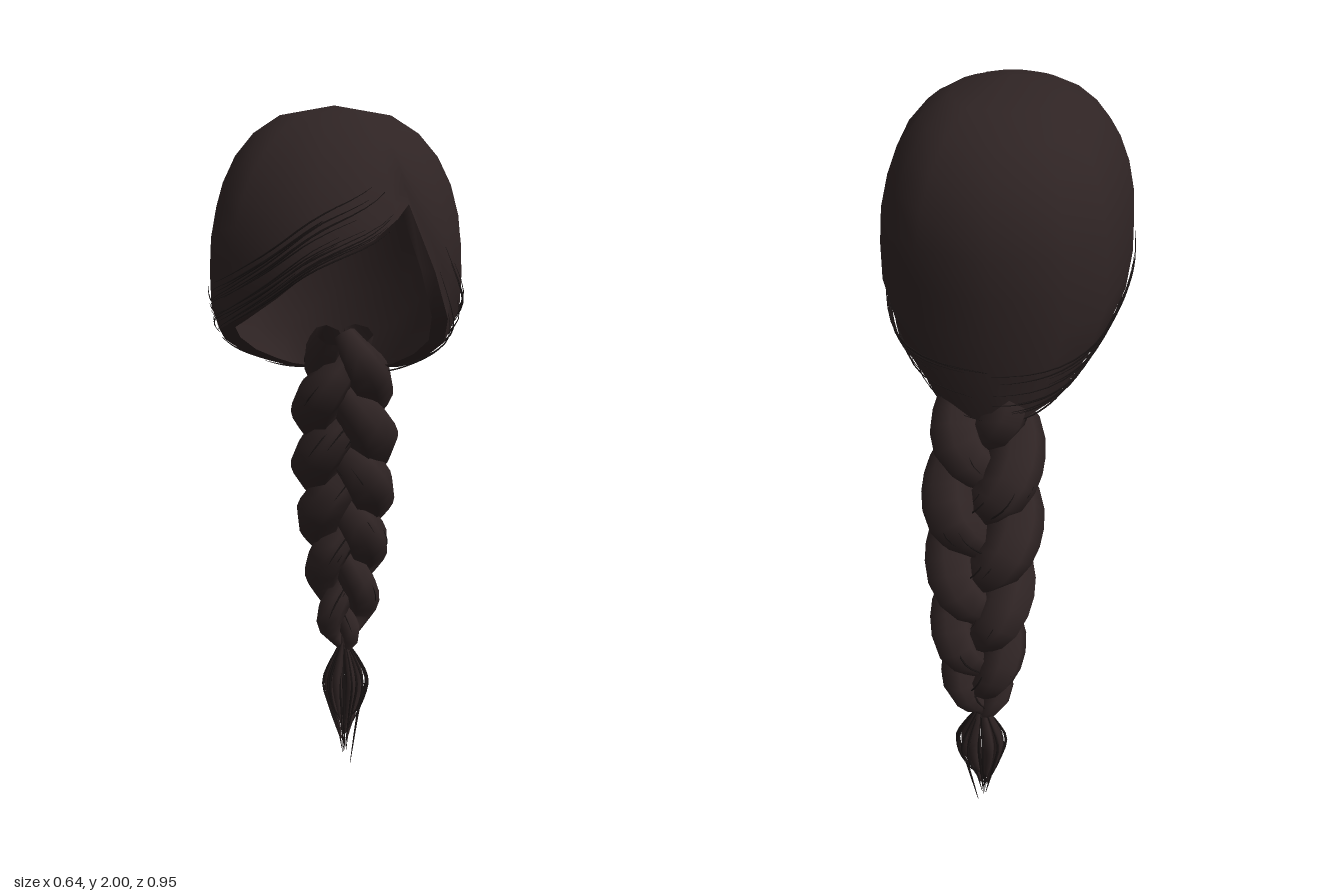
import * as THREE from 'three';
import { mergeGeometries, mergeVertices } from 'three/addons/utils/BufferGeometryUtils.js';

const V = (x, y, z) => new THREE.Vector3(x, y, z);
const lerp = THREE.MathUtils.lerp;
const clamp = THREE.MathUtils.clamp;

// Seeded random numbers for loose hairs
let seed = 7;
const rnd = (a, b) => {
  seed = (seed * 16807) % 2147483647;
  return a + (b - a) * (seed / 2147483647);
};

// Linear lookup in a list of [key, value...] rows with falling keys
function lookup(rows, key) {
  let i = 0;
  while (i < rows.length - 2 && key < rows[i + 1][0]) i++;
  const a = rows[i], b = rows[i + 1];
  const t = clamp((a[0] - key) / (a[0] - b[0]), 0, 1);
  return a.map((v, k) => lerp(v, b[k], t));
}

// Tube along points whose radius follows a rule of t
function taperedTube(points, radius, segments, sides) {
  const curve = new THREE.CatmullRomCurve3(points);
  const geo = new THREE.TubeGeometry(curve, segments, 1, sides, false);
  const pos = geo.attributes.position, p = V(0, 0, 0);
  for (let i = 0; i <= segments; i++) {
    const c = curve.getPointAt(i / segments), r = radius(i / segments);
    for (let j = 0; j <= sides; j++) {
      const k = i * (sides + 1) + j;
      p.fromBufferAttribute(pos, k).sub(c).multiplyScalar(r).add(c);
      pos.setXYZ(k, p.x, p.y, p.z);
    }
  }
  return geo;
}

// Cap outline as x, hem height, z, from the parting round the back to the fringe
const HEM = [
  [0.20, 1.78, 0.32], [0.245, 1.62, 0.305], [0.285, 1.50, 0.26], [0.315, 1.42, 0.19],
  [0.32, 1.36, 0.10], [0.308, 1.30, -0.06], [0.26, 1.28, -0.19], [0.18, 1.27, -0.27],
  [0.0, 1.26, -0.32], [-0.17, 1.27, -0.27], [-0.26, 1.29, -0.16], [-0.29, 1.32, -0.05],
  [-0.31, 1.37, 0.08], [-0.305, 1.43, 0.20], [-0.285, 1.48, 0.31], [-0.24, 1.51, 0.37],
  [-0.15, 1.57, 0.43], [-0.04, 1.65, 0.474], [0.10, 1.71, 0.45], [0.165, 1.75, 0.37],
].map(p => V(...p));
const outline = new THREE.CatmullRomCurve3(HEM, true);

// The parting fades out towards the crown
const rounded = HEM.map(p => p.clone());
rounded[0].set(0.22, 1.78, 0.365);
rounded[19].set(0.17, 1.75, 0.415);
const crownOutline = new THREE.CatmullRomCurve3(rounded, true);
const wrap = u => ((u % 1) + 1) % 1;

// Point on the cap at outline position u and height y, pushed out a little
function capPoint(u, y, push = 0) {
  const p = crownOutline.getPoint(wrap(u)).lerp(outline.getPoint(wrap(u)), clamp((1.95 - y) / 0.15, 0, 1));
  const dir = V(p.x, 0, p.z - 0.1), out = dir.clone().normalize();
  const power = 2.4 - 0.5 * Math.max(0, out.z); // flatter slope over the forehead
  let f = 1, cz = 0.1;
  if (y > 1.6) f = Math.pow(Math.max(0, 1 - Math.pow((y - 1.6) / 0.4, power)), 1 / power);
  else if (y < 1.55) {
    f = 1 - Math.pow((1.55 - y) / 0.385, 2);
    cz = 0.1 - 0.38 * (1 - f);
  }
  return V(dir.x * f + out.x * push, y, cz + dir.z * f + out.z * push);
}

// Closed surface from rings of points
function ringSurface(rings) {
  const cols = rings[0].length, index = [];
  for (let i = 0; i < rings.length - 1; i++) {
    for (let j = 0; j < cols; j++) {
      const a = i * cols + j, b = i * cols + (j + 1) % cols;
      index.push(a, b + cols, b, a, a + cols, b + cols);
    }
  }
  let geo = new THREE.BufferGeometry().setFromPoints(rings.flat());
  geo.setIndex(index);
  geo = mergeVertices(geo, 1e-5);
  geo.computeVertexNormals();
  return geo;
}

// Braid centre line: height, z, thickness
const BRAID = [
  [1.38, -0.2, 0.6], [1.3, -0.215, 0.82], [1.2, -0.243, 1], [1.0, -0.305, 1.05], [0.8, -0.355, 0.97],
  [0.65, -0.38, 0.84], [0.5, -0.375, 0.68], [0.43, -0.365, 0.5], [0.37, -0.36, 0.14],
];
const BRAID_TOP = 1.38, BRAID_END = 0.37, PERIOD = 0.54;
const phaseAt = (y, n) => (BRAID_TOP - y) / PERIOD * Math.PI * 2 + n * Math.PI * 2 / 3;

function braidPoint(y, n) {
  const [, z, s] = lookup(BRAID, y), a = phaseAt(y, n);
  return V(0.022 + Math.sin(a) * 0.078 * s, y, z + Math.sin(2 * a) * 0.042 * s);
}

export function createModel() {
  const group = new THREE.Group();
  const hair = new THREE.MeshStandardMaterial({ color: 0x2f2424, side: THREE.DoubleSide });
  hair.name = 'dark brown hair';
  const strandMat = new THREE.MeshStandardMaterial({ color: 0x1c1616, side: THREE.DoubleSide });
  strandMat.name = 'darker loose strands';
  const add = (name, geo, mat) => {
    const m = new THREE.Mesh(geo, mat);
    m.name = name;
    group.add(m);
  };

  // Swept cap with an open face
  const ROWS = 9, rings = [];
  for (let i = 0; i <= ROWS; i++) {
    rings.push(HEM.map((h, j) => capPoint(j / HEM.length, lerp(2, h.y, Math.pow(i / ROWS, 1.5)))));
  }
  add('hairCap', ringSurface(rings), hair);

  // Hem turned inwards at the sides
  const hemRing = rings[ROWS];
  add('turnedHem', ringSurface([hemRing, hemRing.map(p => V(p.x * 0.86, p.y + 0.005, p.z))]), hair);

  // Fine strands following the hem: fringe, then both sides to the nape
  const wisps = (count, u0, u1, depth) => {
    const list = [];
    for (let k = 0; k < count; k++) {
      const a = lerp(u0, u1, rnd(0, 0.45)), b = lerp(u0, u1, rnd(0.55, 1));
      const lift = rnd(-0.008, depth), drift = rnd(-0.015, 0.015), push = rnd(0.001, 0.005), pts = [];
      for (let i = 0; i <= 9; i++) {
        const u = lerp(a, b, i / 9);
        pts.push(capPoint(u, outline.getPoint(wrap(u)).y + lift + drift * i / 9, push));
      }
      list.push(taperedTube(pts, t => 0.0005 + 0.002 * Math.sin(Math.PI * t), 14, 3));
    }
    return mergeGeometries(list);
  };
  add('fringeStrands', wisps(18, 0.64, 0.95, 0.12), strandMat);
  add('leftSideStrands', wisps(18, 0.06, 0.4, 0.15), strandMat);
  add('rightSideStrands', wisps(16, 0.4, 0.66, 0.15), strandMat);

  // Three plaited locks, fattest where they turn at the sides
  for (let n = 0; n < 3; n++) {
    const pts = [];
    for (let i = 0; i <= 40; i++) pts.push(braidPoint(lerp(BRAID_TOP, BRAID_END, i / 40), n));
    const curve = new THREE.CatmullRomCurve3(pts);
    const radius = t => {
      const y = curve.getPointAt(t).y;
      return 0.07 * lookup(BRAID, y)[2] * (0.78 + 0.27 * Math.abs(Math.sin(phaseAt(y, n))));
    };
    add('braidLock' + (n + 1), taperedTube(pts, radius, 36, 7), hair);
  }

  // Loose hairs lying on the plait
  const loose = [];
  for (let k = 0; k < 48; k++) {
    const n = k % 3, y0 = rnd(0.55, 1.33), len = rnd(0.1, 0.17), around = rnd(0, Math.PI * 2), pts = [];
    for (let i = 0; i <= 6; i++) {
      const y = y0 - len * i / 6, s = lookup(BRAID, y)[2] * 0.066;
      const p = braidPoint(y, n);
      pts.push(V(p.x + Math.cos(around) * s, y, p.z + Math.sin(around) * s));
    }
    loose.push(taperedTube(pts, t => 0.0005 + 0.0024 * Math.sin(Math.PI * t), 8, 3));
  }
  add('braidLooseHairs', mergeGeometries(loose), strandMat);

  // Tuft below the pinch: solid locks, then fine strands ending in a point
  const tuftPath = (angle, spread, tipY, tipSpread) => {
    const c = Math.cos(angle), s = Math.sin(angle);
    return [[0.39, 0.01, -0.36], [0.34, spread * 0.6, -0.36], [0.27, spread, -0.357],
      [0.18, spread * 0.68, -0.35], [tipY, tipSpread, -0.32 - tipY * 0.1]]
      .map(([y, r, z]) => V(0.022 + c * r, y, z + s * r * 0.68));
  };
  const locks = [], fine = [];
  for (let k = 0; k < 6; k++) {
    const path = tuftPath(k * Math.PI / 3, 0.045, 0.08 + 0.02 * (k % 3), 0.008);
    locks.push(taperedTube(path, t => 0.003 + 0.013 * Math.pow(Math.sin(Math.PI * Math.pow(t, 0.75)), 1.2), 14, 5));
  }
  for (let k = 0; k < 24; k++) {
    const path = tuftPath(k * 2.4, rnd(0.035, 0.08), k === 0 ? 0 : rnd(0.03, 0.16), rnd(0.001, 0.02));
    fine.push(taperedTube(path, t => 0.0008 + 0.0035 * Math.sin(Math.PI * Math.min(1, t * 0.95 + 0.05)), 12, 3));
  }
  add('tuftLocks', mergeGeometries(locks), hair);
  add('tuftStrands', mergeGeometries(fine), strandMat);

  return group;
}
